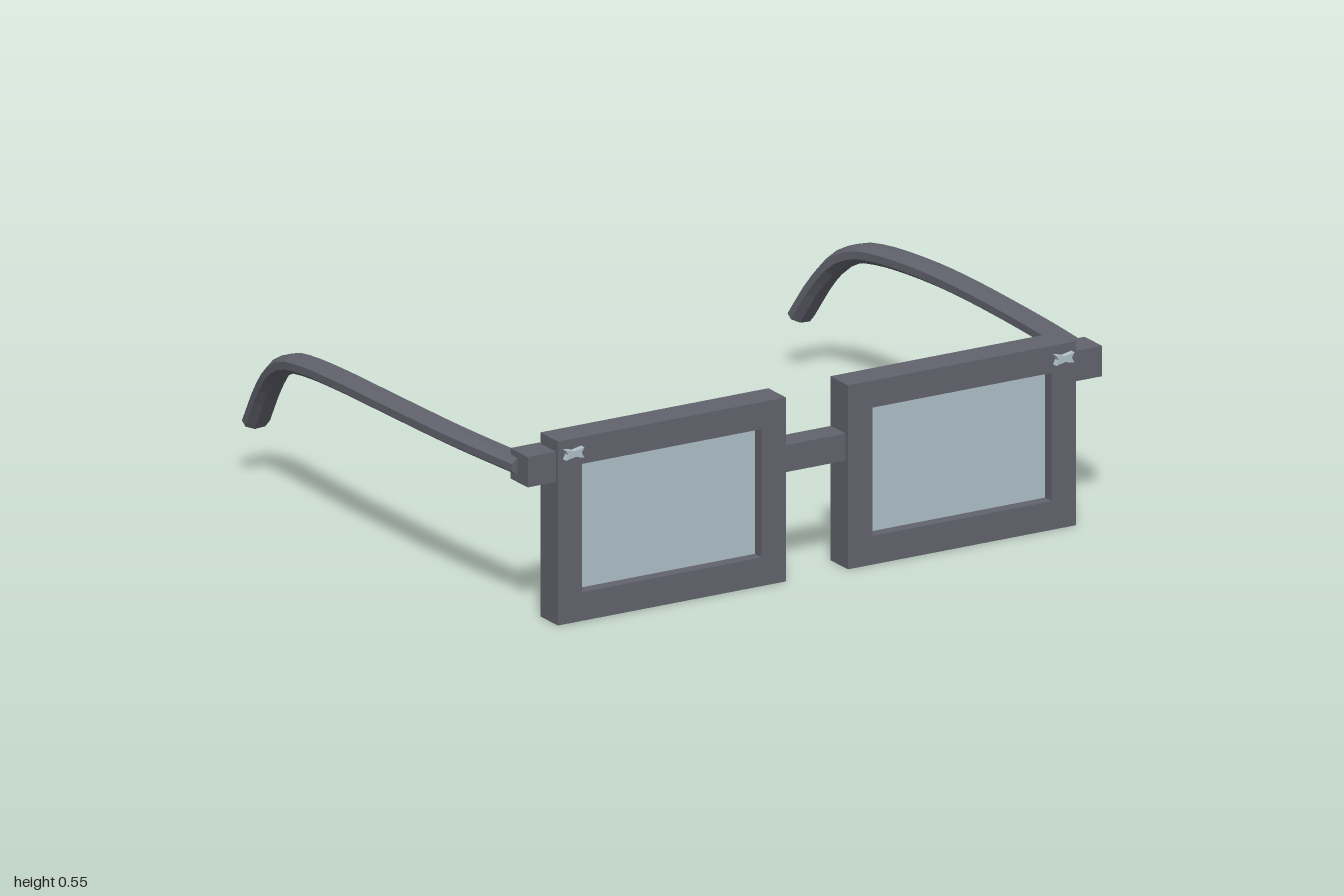
import * as THREE from 'three';

const mat = (name, color) => {
  const m = new THREE.MeshStandardMaterial({ color });
  m.name = name;
  return m;
};

const rect = (target, x0, y0, x1, y1) => {
  target.moveTo(x0, y0);
  target.lineTo(x1, y0);
  target.lineTo(x1, y1);
  target.lineTo(x0, y1);
  target.closePath();
  return target;
};

// Sweeps a flattened octagon along a curve, keeping its wide axis near x
function sweep(curve, steps, halfWidth, halfHeight, sides = 8) {
  const rings = [];
  for (let i = 0; i <= steps; i++) {
    const p = curve.getPointAt(i / steps), t = curve.getTangentAt(i / steps);
    const wide = new THREE.Vector3(1, 0, 0).addScaledVector(t, -t.x).normalize();
    const up = new THREE.Vector3().crossVectors(wide, t).normalize();
    if (up.y < 0) up.negate();
    rings.push(Array.from({ length: sides }, (_, j) => {
      const a = ((j + 0.5) / sides) * Math.PI * 2;
      return p.clone()
        .addScaledVector(wide, Math.cos(a) * halfWidth)
        .addScaledVector(up, Math.sin(a) * halfHeight);
    }));
  }
  const pos = [];
  const tri = (...pts) => pts.forEach((v) => pos.push(v.x, v.y, v.z));
  for (let i = 0; i < steps; i++) {
    for (let j = 0; j < sides; j++) {
      const k = (j + 1) % sides;
      const a = rings[i][j], b = rings[i][k], c = rings[i + 1][k], d = rings[i + 1][j];
      tri(a, c, b);
      tri(a, d, c);
    }
  }
  // End caps
  const first = rings[0], last = rings[steps];
  for (let j = 1; j < sides - 1; j++) {
    tri(first[0], first[j], first[j + 1]);
    tri(last[0], last[j + 1], last[j]);
  }
  const g = new THREE.BufferGeometry();
  g.setAttribute('position', new THREE.Float32BufferAttribute(pos, 3));
  g.computeVertexNormals();
  return g;
}

export function createModel() {
  const model = new THREE.Group();
  model.name = 'glasses';
  const frameMat = mat('dark grey frame', 0x62636d);
  const lensMat = mat('pale blue glass', 0xafc0c8);

  const add = (name, geometry, material, x = 0, y = 0, z = 0) => {
    const m = new THREE.Mesh(geometry, material);
    m.name = name;
    m.position.set(x, y, z);
    model.add(m);
    return m;
  };

  // Bridge between the rims
  add('bridge', new THREE.BoxGeometry(0.2, 0.08, 0.08), frameMat, 0, 0.36, 0.733);

  for (const s of [1, -1]) {
    const side = s > 0 ? 'left' : 'right';

    // Rectangular rim with its opening
    const rim = rect(new THREE.Shape(), -0.375, 0, 0.375, 0.545);
    rim.holes.push(rect(new THREE.Path(), -0.295, 0.085, 0.295, 0.465));
    add(side + 'Rim', new THREE.ExtrudeGeometry(rim, { depth: 0.095, bevelEnabled: false }),
      frameMat, s * 0.477, 0, 0.687);

    // Lens set midway in the rim
    add(side + 'Lens', new THREE.BoxGeometry(0.6, 0.39, 0.02), lensMat, s * 0.477, 0.275, 0.735);

    // Waisted rivet on the upper outer corner
    const rivet = new THREE.Shape([
      [-0.03, -0.015], [0, -0.009], [0.03, -0.015], [0.022, 0],
      [0.03, 0.015], [0, 0.009], [-0.03, 0.015], [-0.022, 0],
    ].map(([x, y]) => new THREE.Vector2(x, y)));
    add(side + 'Rivet', new THREE.ExtrudeGeometry(rivet, { depth: 0.025, bevelEnabled: false }),
      lensMat, s * 0.806, 0.505, 0.775);

    // Hinge block
    add(side + 'Hinge', new THREE.BoxGeometry(0.095, 0.09, 0.094), frameMat, s * 0.897, 0.467, 0.724);

    // Temple arm, curving down behind the ear
    const path = new THREE.CatmullRomCurve3([
      [0.925, 0.468, 0.715], [0.948, 0.467, 0.4], [0.958, 0.465, 0],
      [0.954, 0.459, -0.2], [0.944, 0.443, -0.4], [0.935, 0.422, -0.51],
      [0.925, 0.378, -0.6], [0.911, 0.295, -0.685], [0.896, 0.17, -0.775],
    ].map(([x, y, z]) => new THREE.Vector3(s * x, y, z)));
    add(side + 'Temple', sweep(path, 28, 0.043, 0.029), frameMat);
  }
  return model;
}
